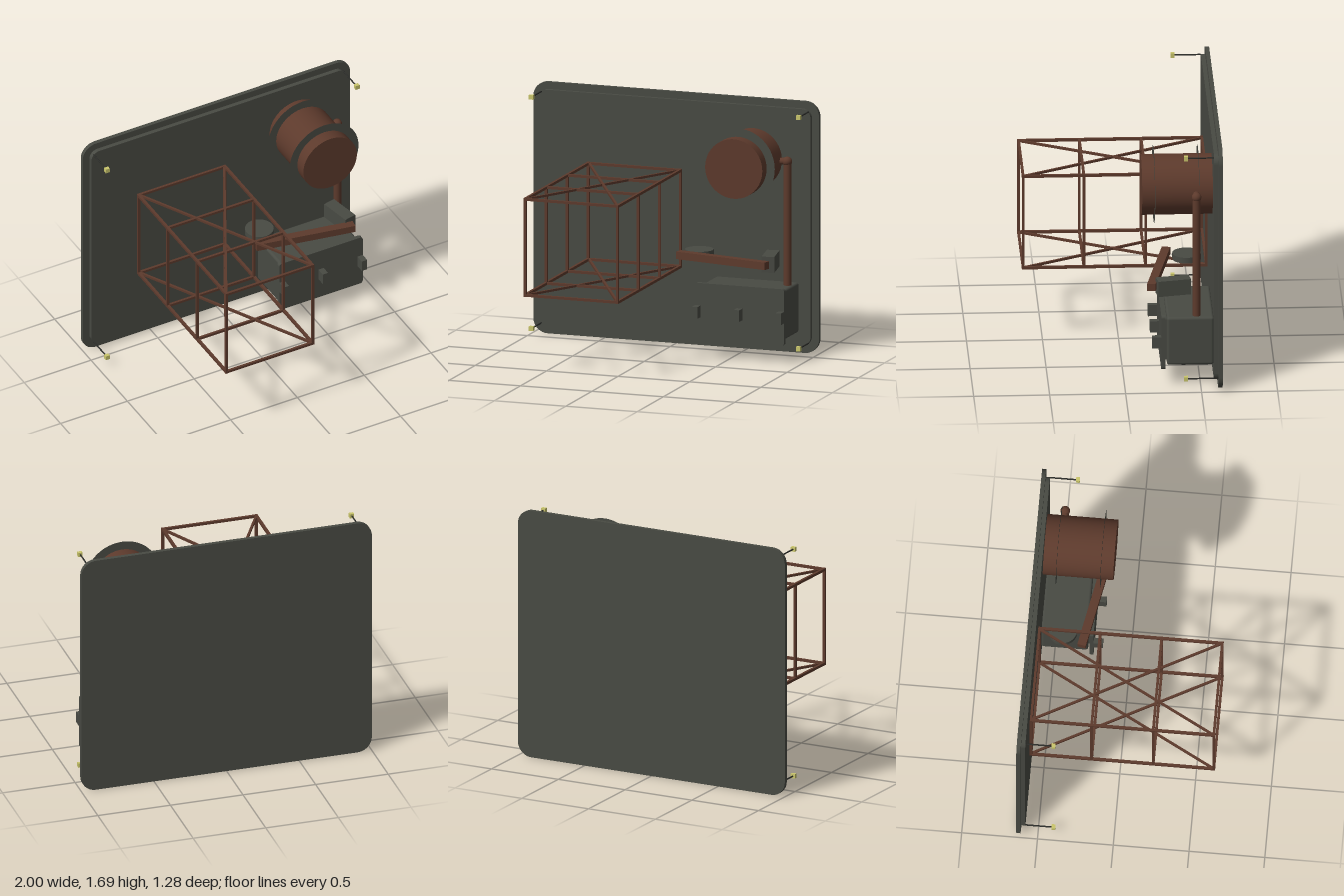
import * as THREE from 'three';
import { RoundedBoxGeometry } from 'three/addons/geometries/RoundedBoxGeometry.js';

const mat = (name, color) => Object.assign(new THREE.MeshStandardMaterial({ color }), { name });

export function createModel() {
  const grey = mat('dark grey metal', 0x484a43);
  const rust = mat('rust brown', 0x5d3a2c);
  const yellow = mat('pale yellow', 0xcac66c);
  const black = mat('dark rod', 0x2b2c29);
  const greyThin = mat('grey flange', 0x484a43);
  greyThin.side = THREE.DoubleSide;

  const root = new THREE.Group();
  const add = (name, geo, material, x = 0, y = 0, z = 0, parent = root) => {
    const m = new THREE.Mesh(geo, material);
    m.name = name;
    m.position.set(x, y, z);
    parent.add(m);
    return m;
  };
  const group = (name) => {
    const g = new THREE.Group();
    g.name = name;
    root.add(g);
    return g;
  };
  const box = (w, h, d) => new THREE.BoxGeometry(w, h, d);
  const cylZ = (r, len, seg = 48) => new THREE.CylinderGeometry(r, r, len, seg).rotateX(Math.PI / 2);

  // Rounded rectangle plate, extruded forward from its local z = 0
  const plate = (w, h, r, depth) => {
    const s = new THREE.Shape();
    const x = w / 2 - r, y = h / 2 - r;
    s.absarc(x, y, r, 0, Math.PI / 2);
    s.absarc(-x, y, r, Math.PI / 2, Math.PI);
    s.absarc(-x, -y, r, Math.PI, Math.PI * 1.5);
    s.absarc(x, -y, r, Math.PI * 1.5, Math.PI * 2);
    return new THREE.ExtrudeGeometry(s, { depth, bevelEnabled: false, curveSegments: 10 });
  };

  // Wall panel in two layers
  add('wallPanel', plate(2, 1.69, 0.1, 0.027), grey, 0, 0.845, -0.64);
  add('raisedPanel', plate(1.9, 1.59, 0.06, 0.028), grey, 0, 0.848, -0.613);

  // Corner pins with small end blocks
  for (const x of [-0.935, 0.935]) {
    for (const y of [0.073, 1.628]) {
      add('cornerPin', cylZ(0.005, 0.19, 10), black, x, y, -0.49);
      add('pinBlock', box(0.03, 0.03, 0.025), yellow, x, y, -0.4);
    }
  }

  // Open truss cage: four rings, four rails and crossed braces above and below
  const cage = group('trussCage');
  const strut = (name, a, b, t) => {
    const p = new THREE.Vector3(...a), q = new THREE.Vector3(...b);
    const m = add(name, box(t, t, p.distanceTo(q)), rust, 0, 0, 0, cage);
    m.position.copy(p).add(q).multiplyScalar(0.5);
    m.lookAt(q);
  };
  const [x0, x1, y0, y1, zb, zf] = [-0.602, 0.043, 0.527, 1.172, -0.585, 0.629];
  for (const z of [-0.577, -0.177, 0.229, zf]) {
    const t = 0.017;
    for (const y of [y0, y1]) strut('crossBar', [x0, y, z], [x1, y, z], t);
    for (const x of [x0, x1]) strut('upright', [x, y0, z], [x, y1, z], t);
  }
  for (const y of [y0, y1]) {
    for (const x of [x0, x1]) strut('rail', [x, y, zb], [x, y, zf + 0.009], 0.018);
    strut('diagonalBrace', [x0, y, zb], [x1, y, zf], 0.015);
    strut('diagonalBrace', [x1, y, zb], [x0, y, zf], 0.015);
  }

  // Drum with two thin flanges
  const drum = group('drum');
  add('drumBody', cylZ(0.2, 0.465, 64), rust, 0.583, 1.312, -0.3525, drum);
  const ring = new THREE.RingGeometry(0.198, 0.257, 64, 1);
  for (const z of [-0.203, -0.495]) add('drumFlange', ring, greyThin, 0.583, 1.312, z, drum);

  // Pipe rising from the cabinet and turning into the drum
  const pipe = group('pipe');
  add('pipeRiser', new THREE.CylinderGeometry(0.026, 0.026, 0.85, 24), rust, 0.83, 0.89, -0.475, pipe);
  add('pipeJoint', new THREE.SphereGeometry(0.032, 24, 16), rust, 0.828, 1.31, -0.475, pipe);
  add('pipeElbow', new THREE.CylinderGeometry(0.023, 0.023, 0.08, 20).rotateZ(Math.PI / 2),
    rust, 0.785, 1.31, -0.475, pipe);

  // Cabinet, door, latches and underside vents
  const cabinet = group('cabinet');
  add('cabinetBody', new RoundedBoxGeometry(0.58, 0.336, 0.31, 3, 0.018), grey, 0.58, 0.311, -0.433, cabinet);
  add('cabinetDoor', plate(0.625, 0.38, 0.02, 0.028), grey, 0.58, 0.311, -0.268, cabinet);
  add('doorSpacer', box(0.5, 0.28, 0.025), grey, 0.58, 0.311, -0.272, cabinet);
  for (const x of [0.288, 0.58, 0.872]) {
    add('doorLatch', box(0.04, 0.078, 0.064), grey, x, 0.312, -0.211, cabinet);
  }
  for (const x of [0.44, 0.72]) add('vent', box(0.22, 0.015, 0.175), black, x, 0.138, -0.463, cabinet);

  // Swing arm with its mounting block and round pad
  const arm = group('swingArm');
  add('armBar', box(0.68, 0.05, 0.056), rust, 0.46, 0.666, -0.243, arm).rotation.y = -0.19;
  add('armBlock', box(0.085, 0.107, 0.22), grey, 0.766, 0.664, -0.325, arm).rotation.y = 0.19;
  add('roundPad', new THREE.CylinderGeometry(0.095, 0.095, 0.04, 40), grey, 0.226, 0.665, -0.438, arm);

  return root;
}
